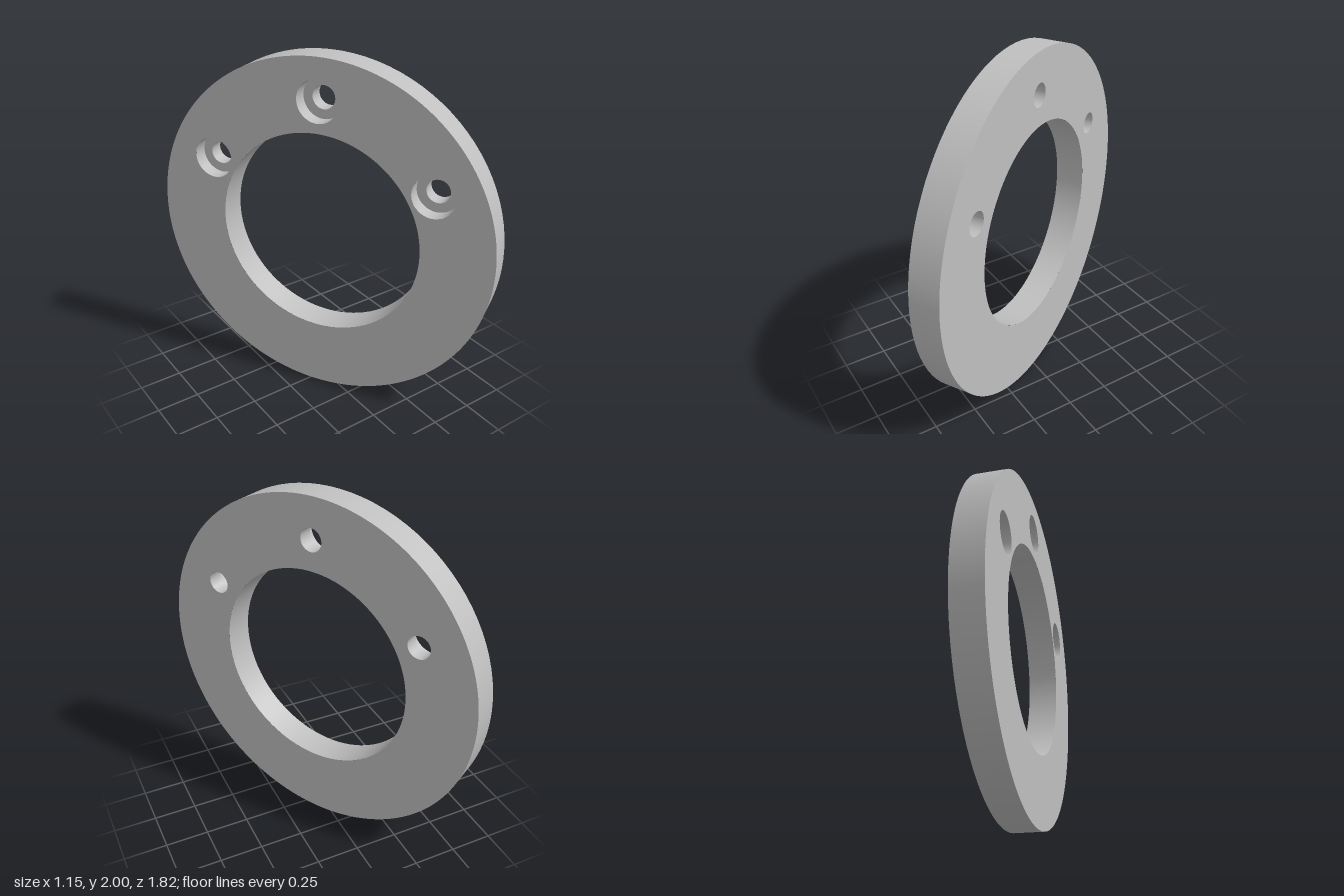
import * as THREE from 'three';

const SEG = 96;
const HALF = 0.086; // half the thickness of the ring
const OUTER = 1, INNER = 0.595;
const BORE = 0.118, HOLE = 0.065; // counterbore and through hole radii
const HOLES = [[0, 0.768], [-0.648, 0.355], [0.648, 0.355]];

export function createModel() {
  const grey = new THREE.MeshStandardMaterial({ color: 0xbfbfbf });
  grey.name = 'plain grey';

  const ring = new THREE.Group();
  ring.name = 'flangeRing';

  const add = (name, geometry, x = 0, y = 0) => {
    const mesh = new THREE.Mesh(geometry, grey);
    mesh.name = name;
    mesh.position.set(x, y, 0);
    ring.add(mesh);
    return mesh;
  };

  // One turned surface about z; going up faces out, going down faces in
  const turned = (r0, z0, r1, z1) =>
    new THREE.LatheGeometry([new THREE.Vector2(r0, z0), new THREE.Vector2(r1, z1)], SEG).rotateX(Math.PI / 2);

  // Flat annular face pierced by the three holes
  const face = (holeRadius) => {
    const shape = new THREE.Shape().absarc(0, 0, OUTER, 0, Math.PI * 2);
    for (const [x, y, r] of [[0, 0, INNER], ...HOLES.map(([x, y]) => [x, y, holeRadius])]) {
      shape.holes.push(new THREE.Path().absarc(x, y, r, 0, Math.PI * 2, true));
    }
    return new THREE.ShapeGeometry(shape, SEG);
  };

  add('counterboredFace', face(BORE).translate(0, 0, HALF));
  add('plainFace', face(HOLE).rotateY(Math.PI).translate(0, 0, -HALF));
  add('outerRim', turned(OUTER, -HALF, OUTER, HALF));
  add('innerRim', turned(INNER, HALF, INNER, -HALF));

  // Stepped screw holes
  for (const [x, y] of HOLES) {
    add('counterboreWall', turned(BORE, HALF, BORE, 0), x, y);
    add('counterboreFloor', turned(BORE, 0, HOLE, 0), x, y);
    add('throughHoleWall', turned(HOLE, 0, HOLE, -HALF), x, y);
  }

  // Stand the ring upright, turned about the vertical
  ring.rotation.y = -Math.PI / 3;
  ring.position.y = 1;

  const model = new THREE.Group();
  model.name = 'mountingRing';
  model.add(ring);
  return model;
}
